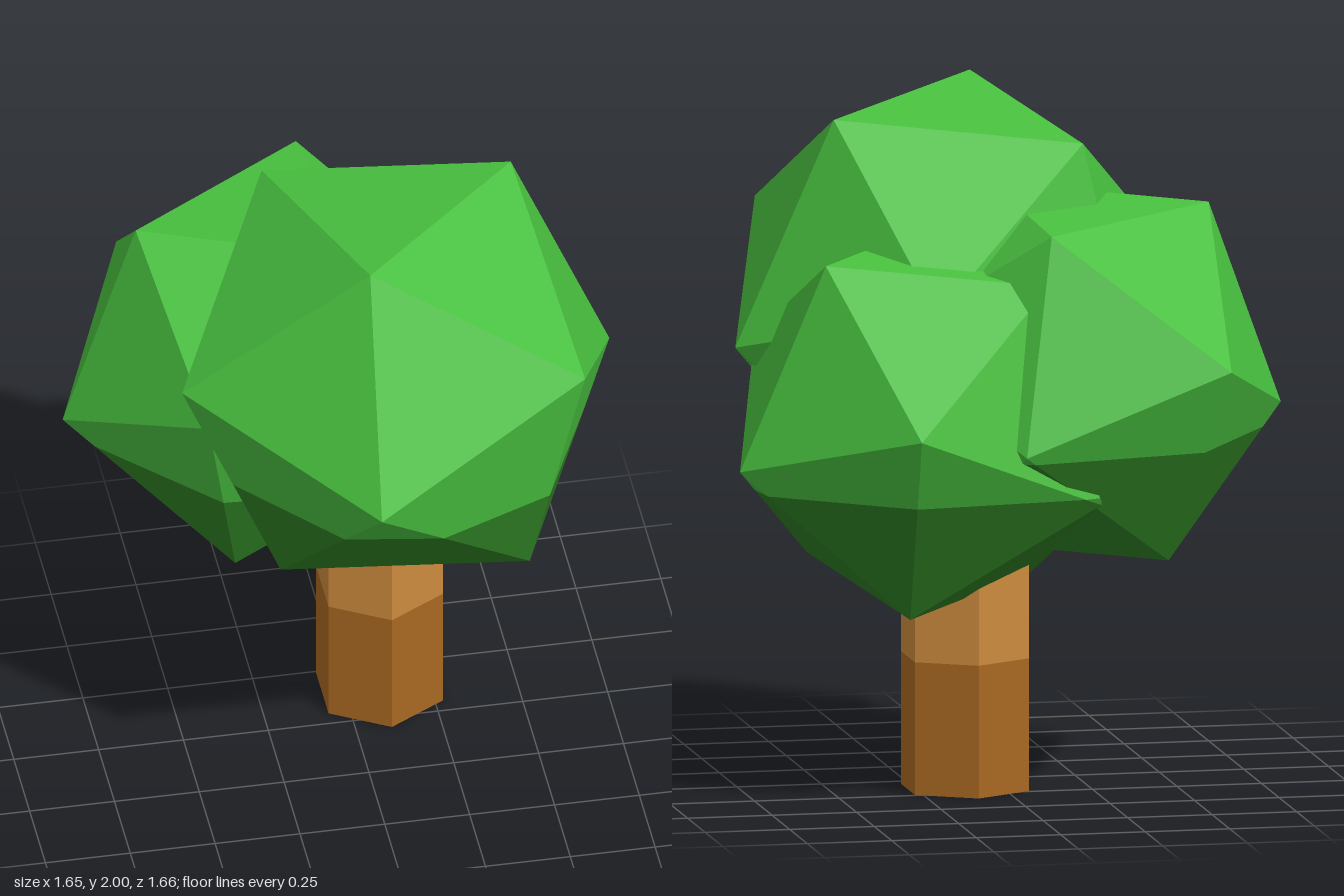
import * as THREE from 'three';

const flat = (name, color) => {
  const m = new THREE.MeshStandardMaterial({ color });
  m.name = name;
  m.flatShading = true;
  return m;
};

// Cut a convex polygon at height y, keeping the upper (side = 1) or lower (side = -1) part
function cutPolygon(points, y, side) {
  const kept = [];
  points.forEach((p, i) => {
    const q = points[(i + 1) % points.length];
    const dp = (p.y - y) * side, dq = (q.y - y) * side;
    if (dp >= 0) kept.push(p);
    if (dp * dq < 0) kept.push(p.clone().lerp(q, dp / (dp - dq)));
  });
  return kept;
}

// The part of a solid above or below a horizontal colour boundary
function cutGeometry(source, y, side) {
  const geometry = source.index ? source.toNonIndexed() : source;
  const pos = geometry.attributes.position, out = [];
  for (let i = 0; i < pos.count; i += 3) {
    const tri = [0, 1, 2].map(k => new THREE.Vector3().fromBufferAttribute(pos, i + k));
    const poly = cutPolygon(tri, y, side);
    for (let k = 1; k + 1 < poly.length; k++) {
      for (const p of [poly[0], poly[k], poly[k + 1]]) out.push(p.x, p.y, p.z);
    }
  }
  const result = new THREE.BufferGeometry();
  result.setAttribute('position', new THREE.Float32BufferAttribute(out, 3));
  result.computeVertexNormals();
  return result;
}

function twoTone(name, geometry, y, upper, lower) {
  const group = new THREE.Group();
  group.name = name;
  [[1, upper, 'Upper'], [-1, lower, 'Lower']].forEach(([side, material, suffix]) => {
    const mesh = new THREE.Mesh(cutGeometry(geometry, y, side), material);
    mesh.name = name + suffix;
    group.add(mesh);
  });
  return group;
}

// Icosahedron turned so that its first face lies on the three given corners
function tiltedIcosahedron(center, corners) {
  const geometry = new THREE.IcosahedronGeometry(1, 0);
  const pos = geometry.attributes.position;
  const c = new THREE.Vector3(...center);
  const from = [0, 1, 2].map(i => new THREE.Vector3().fromBufferAttribute(pos, i));
  const to = corners.map(p => new THREE.Vector3(...p).sub(c));
  const turn = new THREE.Matrix4().makeBasis(...to)
    .multiply(new THREE.Matrix4().makeBasis(...from).invert());
  return geometry.applyMatrix4(turn).translate(c.x, c.y, c.z);
}

export function createModel() {
  const tree = new THREE.Group();
  tree.name = 'tree';
  const leafLight = flat('leaf green', 0x48c03f);
  const leafDark = flat('shaded leaf green', 0x2e7f24);
  const barkLight = flat('bark brown', 0xcc8b3e);
  const barkDark = flat('dark bark brown', 0xa86722);

  // Six-sided trunk, running up into the foliage
  const trunk = new THREE.CylinderGeometry(0.195, 0.195, 0.9, 6).translate(0.105, 0.45, -0.145);
  tree.add(twoTone('trunk', trunk, 0.39, barkLight, barkDark));

  // Three overlapping foliage clumps
  const clumps = [
    { name: 'frontFoliage', center: [0.095, 1.408, 0.163], split: 1.18,
      corners: [[-0.04, 2, 0.485], [0.57, 1.63, 0.61], [0.47, 1.955, -0.03]] },
    { name: 'rightFoliage', center: [-0.22, 1.223, -0.206], split: 1.04,
      corners: [[-0.6, 1.71, -0.22], [-0.06, 1.685, -0.585], [-0.565, 1.29, -0.715]] },
    { name: 'leftFoliage', center: [0.232, 1.1, -0.229], split: 0.92,
      corners: [[0.57, 1.59, -0.4], [0.82, 0.99, -0.38], [0.375, 1.135, -0.83]] },
  ];
  for (const { name, center, corners, split } of clumps) {
    tree.add(twoTone(name, tiltedIcosahedron(center, corners), split, leafLight, leafDark));
  }
  return tree;
}
